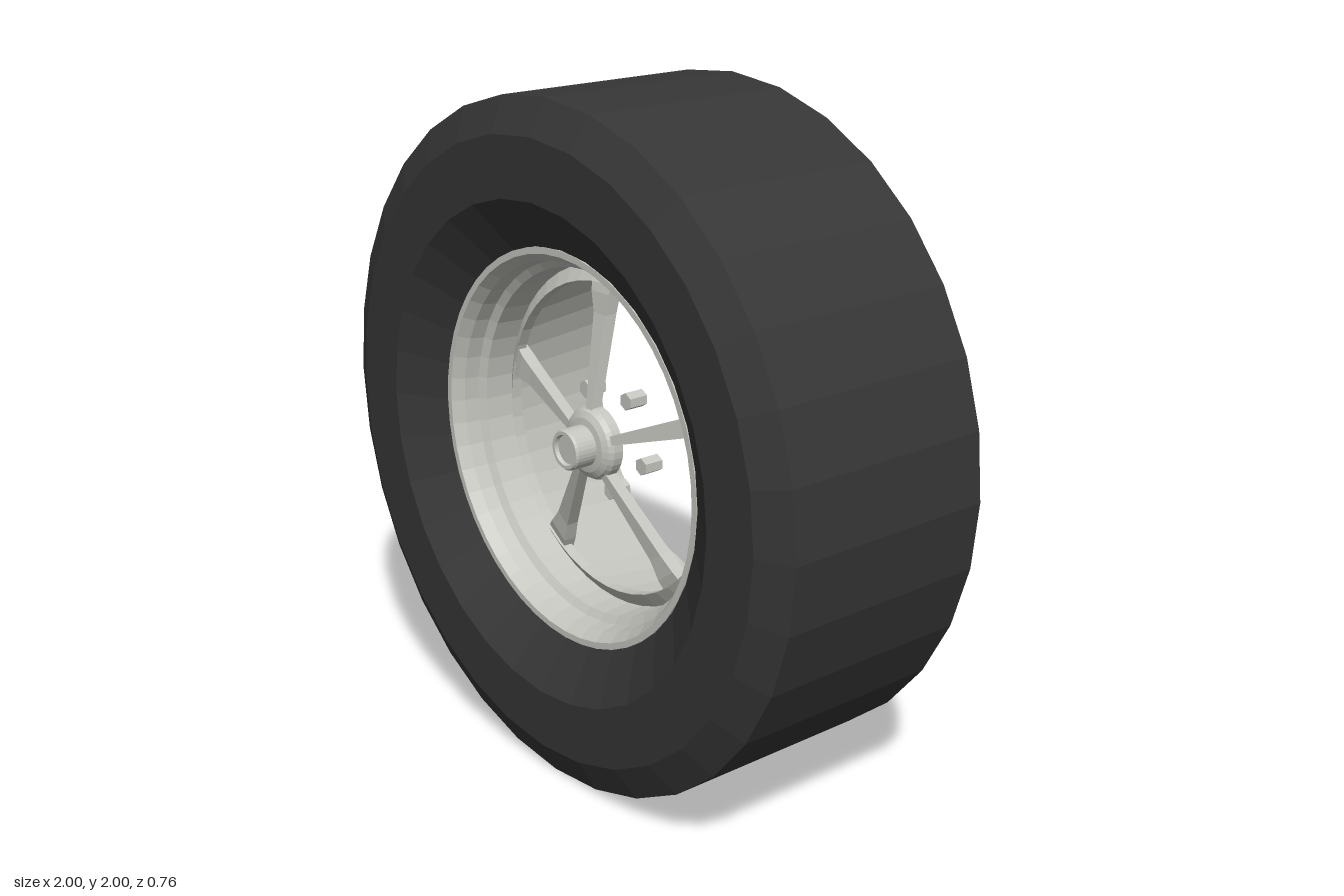
import * as THREE from 'three';

const rubber = new THREE.MeshStandardMaterial({ color: 0x363636 });
rubber.name = 'rubber';
const alloy = new THREE.MeshStandardMaterial({ color: 0xc6c6c0 });
alloy.name = 'alloy';

// Faceted normals
function facet(geometry) {
  const g = geometry.index ? geometry.toNonIndexed() : geometry;
  g.computeVertexNormals();
  return g;
}

function part(name, geometry, material) {
  const mesh = new THREE.Mesh(facet(geometry), material);
  mesh.name = name;
  return mesh;
}

// Revolve an [r, z] profile about the wheel axis (z)
function revolve(profile, sides) {
  const points = profile.map(([r, z]) => new THREE.Vector2(r, z));
  return new THREE.LatheGeometry(points, sides).rotateX(Math.PI / 2);
}

// Tapered spoke pointing up: stations are [radius, left, right, back, front]
function spokeGeometry() {
  const stations = [
    [0.08, -0.014, 0.01, 0.162, 0.196],
    [0.37, -0.043, 0.01, 0.1, 0.14],
    [0.43, -0.06, 0.018, 0.092, 0.134],
    [0.475, -0.068, 0.024, 0.088, 0.122],
  ];
  const rings = stations.map(([y, l, r, b, f]) =>
    [[l, y, f], [r, y, f], [r, y, b], [l, y, b]]);
  const pos = [];
  for (let i = 0; i < rings.length - 1; i++) {
    for (let j = 0; j < 4; j++) {
      const k = (j + 1) % 4;
      const [a, b, c, d] = [rings[i][j], rings[i][k], rings[i + 1][k], rings[i + 1][j]];
      pos.push(...a, ...b, ...c, ...a, ...c, ...d);
    }
  }
  const g = new THREE.BufferGeometry();
  g.setAttribute('position', new THREE.Float32BufferAttribute(pos, 3));
  return g;
}

export function createModel() {
  const wheel = new THREE.Group();
  wheel.name = 'wheel';
  wheel.position.y = 1;

  // Tyre with bevelled shoulders and sloping inner walls
  wheel.add(part('tyre', revolve([
    [0.58, -0.285], [0.725, -0.38], [0.9, -0.38], [1, -0.33],
    [1, 0.33], [0.9, 0.38], [0.725, 0.38], [0.58, 0.285], [0.58, -0.285],
  ], 32), rubber));

  // Rim: stepped front lip, raised inner ring, deep tapered barrel
  wheel.add(part('rim', revolve([
    [0.579, -0.286], [0.579, 0.288], [0.56, 0.288], [0.537, 0.255],
    [0.53, 0.21], [0.508, 0.195], [0.503, 0.105], [0.46, 0.135],
    [0.46, 0.1], [0.52, 0.075], [0.57, -0.286], [0.579, -0.286],
  ], 48), alloy));

  // Hub with a rounded shoulder and a recessed cap
  wheel.add(part('hub', revolve([
    [0, 0.155], [0.107, 0.155], [0.107, 0.185], [0.098, 0.2], [0.08, 0.21],
    [0.06, 0.213], [0.06, 0.275], [0.055, 0.282], [0.045, 0.282],
    [0.042, 0.27], [0, 0.27],
  ], 32), alloy));

  // Five spokes and five hexagonal lug nuts
  for (let i = 0; i < 5; i++) {
    const turn = (i * Math.PI * 2) / 5;
    const spoke = part('spoke', spokeGeometry(), alloy);
    spoke.rotation.z = turn;
    wheel.add(spoke);

    const nut = part('lugNut',
      new THREE.CylinderGeometry(0.026, 0.026, 0.06, 6).rotateX(Math.PI / 2), alloy);
    const angle = turn + THREE.MathUtils.degToRad(57.5);
    nut.position.set(0.16 * Math.cos(angle), 0.16 * Math.sin(angle), 0.1);
    wheel.add(nut);
  }

  const model = new THREE.Group();
  model.name = 'wheelModel';
  model.add(wheel);
  return model;
}
